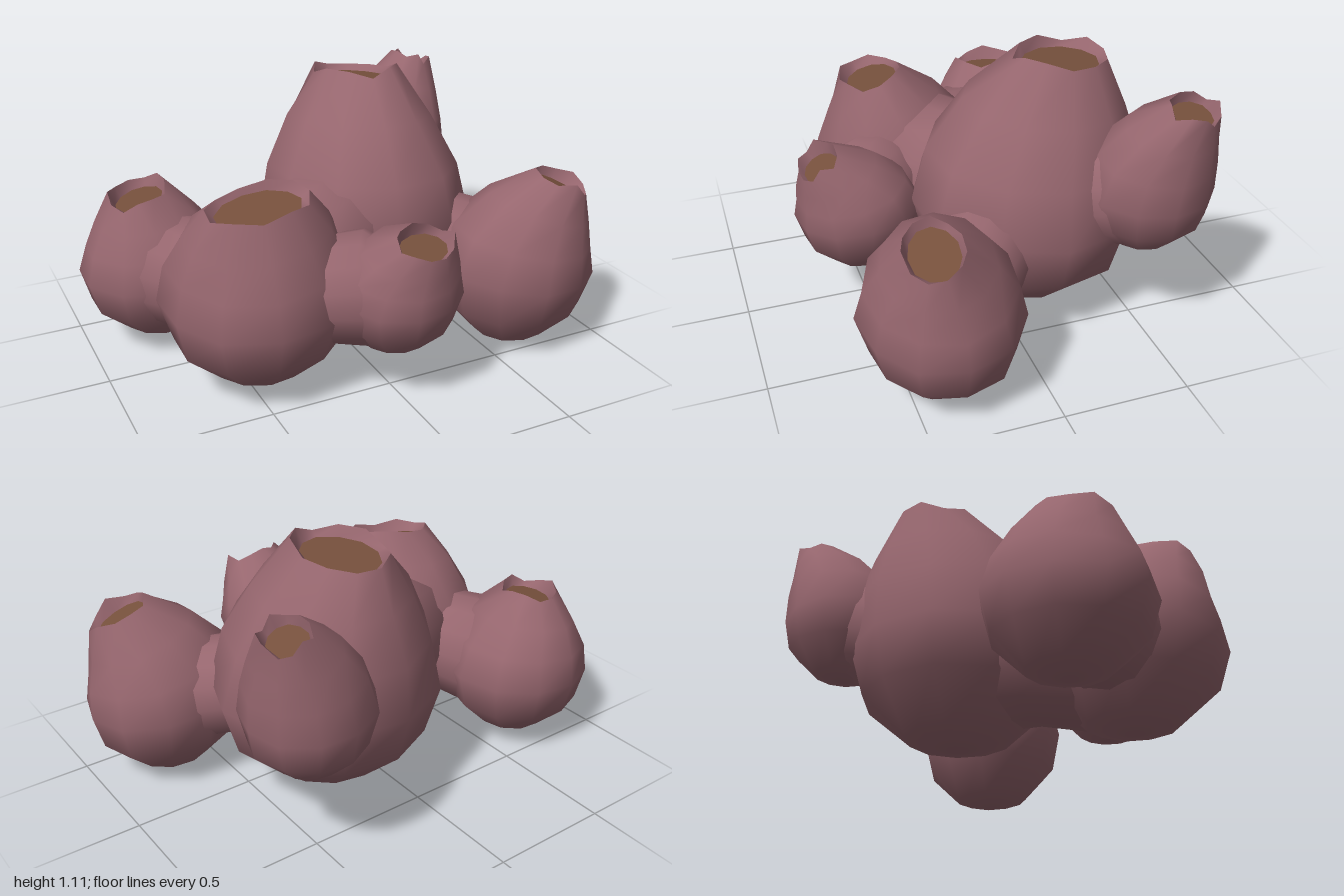
import * as THREE from 'three';
import { mergeVertices } from 'three/addons/utils/BufferGeometryUtils.js';

const SIDES = 11;
const UP = new THREE.Vector3(0, 1, 0);

// belly and rim: [x, y, z, rx, rz]; lean: mouth direction in x and z; yaw: turn of the mouth
const PODS = {
  centrePod: { baseY: .05, belly: [.205, .48, -.14, .46, .46], rim: [.22, 1.08, -.27, .15, .2], lean: [.05, -.1], yaw: -.3 },
  backLeftPod: { baseY: .37, belly: [.54, .64, -.51, .245, .26], rim: [.68, 1, -.6, .085, .1], lean: [.4, -.1], yaw: 0 },
  backRightPod: { baseY: .03, belly: [-.69, .33, -.31, .31, .31], rim: [-.75, .66, -.31, .11, .15], lean: [-.15, 0], yaw: .6 },
  frontRightPod: { baseY: .02, belly: [-.44, .38, .22, .38, .37], rim: [-.47, .8, .33, .2, .13], lean: [-.12, .25], yaw: 0 },
  frontPod: { baseY: .18, belly: [.01, .44, .51, .255, .255], rim: [.04, .68, .67, .115, .085], lean: [0, .45], yaw: 0 },
  frontLeftPod: { baseY: 0, belly: [.66, .34, .36, .335, .31], rim: [.82, .71, .43, .13, .11], lean: [.45, .2], yaw: 0 },
};

function seeded(seed) {
  return () => {
    seed = (seed * 16807) % 2147483647;
    return seed / 2147483647;
  };
}

// Joins closed rings of points into one smooth skin
function loft(rings) {
  const n = rings[0].length, index = [];
  for (let i = 0; i < rings.length - 1; i++) {
    for (let j = 0; j < n; j++) {
      const a = i * n + j, b = i * n + (j + 1) % n;
      index.push(a, a + n, b, b, a + n, b + n);
    }
  }
  let g = new THREE.BufferGeometry().setFromPoints(rings.flat());
  g.setIndex(index);
  g = mergeVertices(g, 1e-5);
  g.computeVertexNormals();
  return g;
}

// Round bowl below the belly, then a taper up to the rim
function podRings({ baseY, belly, rim }) {
  const [x, y, z, rx, rz] = belly;
  const bowl = [0, .12, .52, 1].map((s) => {
    const k = Math.sqrt(1 - (1 - s) ** 2);
    return [x, baseY + (y - baseY) * s, z, rx * k, rz * k];
  });
  const taper = [.37, .7, 1].map((s) =>
    belly.map((value, i) => value + (rim[i] - value) * (i === 1 ? s : s ** 1.8)));
  return [...bowl, ...taper];
}

function makePod(name, pod, seed, skin, inside) {
  const rand = seeded(seed);
  const mouth = new THREE.Vector3(pod.lean[0], 1, pod.lean[1]).normalize();
  const sizes = podRings(pod);
  const last = sizes.length - 1;

  // Body, with rings leaning gradually toward the mouth and a ragged rim
  const rings = sizes.map(([x, y, z, rx, rz], i) => {
    const normal = UP.clone().lerp(mouth, (i / last) ** 2).normalize();
    const u = new THREE.Vector3(1, 0, 0).addScaledVector(normal, -normal.x).normalize();
    const v = u.clone().cross(normal);
    const yaw = i === last ? pod.yaw : 0;
    return Array.from({ length: SIDES }, (_, j) => {
      const angle = j / SIDES * Math.PI * 2 - yaw;
      const k = 0.99 + rand() * 0.05;
      const p = rx * k * Math.cos(angle), q = rz * k * Math.sin(angle);
      const jag = i === last ? (rand() - 0.4) * 0.05 : 0;
      return new THREE.Vector3(x, y, z)
        .addScaledVector(u, p * Math.cos(yaw) - q * Math.sin(yaw))
        .addScaledVector(v, p * Math.sin(yaw) + q * Math.cos(yaw))
        .addScaledVector(normal, jag);
    });
  });
  const body = new THREE.Mesh(loft(rings), skin);
  body.name = 'body';

  // Lip wall sinking from the rim to the floor of the mouth
  const rimRing = rings[last];
  const centre = new THREE.Vector3(...pod.rim.slice(0, 3)).addScaledVector(mouth, -0.035);
  const floorRing = rimRing.map((p) =>
    p.clone().sub(centre).projectOnPlane(mouth).multiplyScalar(0.84).add(centre));
  const lip = new THREE.Mesh(loft([rimRing, floorRing]), skin);
  lip.name = 'lip';

  // Floor of the mouth
  const floor = new THREE.Mesh(loft([floorRing, floorRing.map(() => centre.clone())]), inside);
  floor.name = 'mouthFloor';

  const group = new THREE.Group();
  group.name = name;
  group.add(body, lip, floor);
  return group;
}

// Waisted neck that blends two neighbouring pods
function makeNeck(podA, podB, radius, skin) {
  const a = new THREE.Vector3(...podA.belly.slice(0, 3));
  const b = new THREE.Vector3(...podB.belly.slice(0, 3));
  const axis = b.clone().sub(a);
  const profile = [[-.5, .7], [-.3, 1.08], [0, 1], [.3, 1.08], [.5, .7]]
    .map(([t, r]) => new THREE.Vector2(r * radius, t * axis.length()));
  const neck = new THREE.Mesh(new THREE.LatheGeometry(profile, 14), skin);
  neck.name = 'neck';
  neck.position.copy(a).add(b).multiplyScalar(0.5);
  neck.quaternion.setFromUnitVectors(UP, axis.normalize());
  return neck;
}

export function createModel() {
  const skin = new THREE.MeshStandardMaterial({ color: 0x96666e, side: THREE.DoubleSide });
  skin.name = 'mauve skin';
  const inside = new THREE.MeshStandardMaterial({ color: 0x76503c, side: THREE.DoubleSide });
  inside.name = 'brown inside';

  const model = new THREE.Group();
  model.name = 'podCluster';
  Object.entries(PODS).forEach(([name, pod], i) =>
    model.add(makePod(name, pod, 731 + i * 977, skin, inside)));

  const { centrePod, backLeftPod, backRightPod, frontRightPod, frontPod, frontLeftPod } = PODS;
  model.add(
    makeNeck(frontRightPod, centrePod, .3, skin),
    makeNeck(frontRightPod, backRightPod, .23, skin),
    makeNeck(frontRightPod, frontPod, .21, skin),
    makeNeck(centrePod, frontLeftPod, .2, skin),
    makeNeck(centrePod, backLeftPod, .22, skin),
  );
  return model;
}
